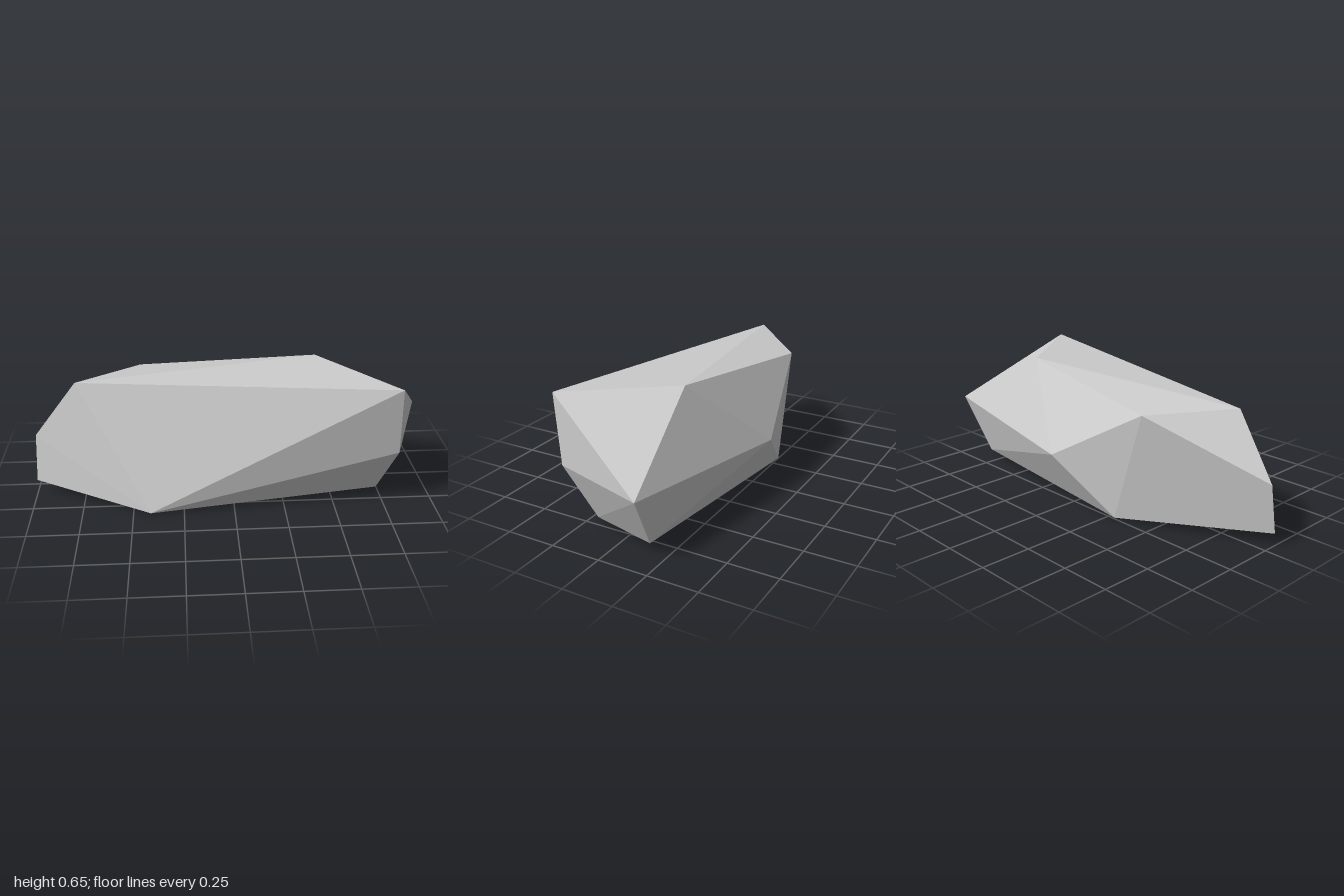
import * as THREE from 'three';
import { ConvexGeometry } from 'three/addons/geometries/ConvexGeometry.js';

export function createModel() {
  const group = new THREE.Group();
  group.name = 'rock';

  // corners of the faceted stone
  const corners = [
    // top ridge
    [0.79, 0.645, 0.363], [0.44, 0.648, -0.115], [-0.46, 0.565, -0.245], [-0.77, 0.6, 0.07],
    // waist
    [0.803, 0.298, 0.326], [1.0, 0.332, -0.2], [0.035, 0.275, -0.364], [-0.99, 0.305, 0.035],
    // base
    [0.735, 0.033, 0.19], [0.825, 0.039, -0.155], [-0.3, 0.013, -0.258],
    [-1.0, 0.063, 0.067], [-0.415, 0.002, 0.33],
  ].map((c) => new THREE.Vector3(...c));

  const stone = new THREE.Mesh(
    new ConvexGeometry(corners),
    new THREE.MeshStandardMaterial({ color: 0xcccccc, flatShading: true }),
  );
  stone.name = 'stone';
  group.add(stone);
  return group;
}
